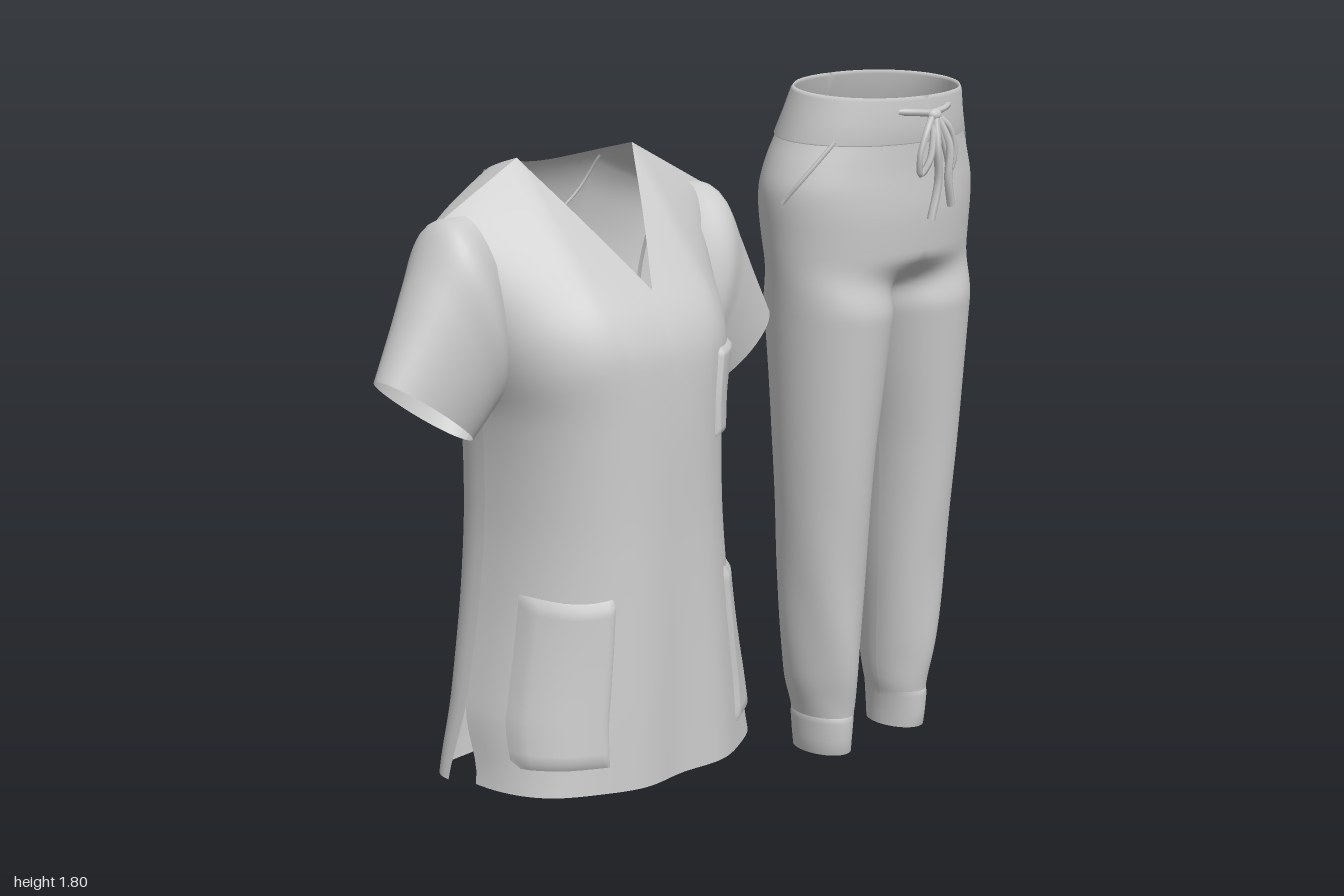
import * as THREE from 'three';

const mat = new THREE.MeshStandardMaterial({ color: 0xcccccc, side: THREE.DoubleSide });
const { lerp, smoothstep } = THREE.MathUtils;

// Smooth lookup through [key, value] pairs with rising keys
function curve(p) {
  const slope = (i) => {
    const a = p[Math.max(i - 1, 0)], b = p[Math.min(i + 1, p.length - 1)];
    return (b[1] - a[1]) / (b[0] - a[0]);
  };
  return (x) => {
    if (x <= p[0][0]) return p[0][1];
    if (x >= p[p.length - 1][0]) return p[p.length - 1][1];
    let i = 0;
    while (x > p[i + 1][0]) i++;
    const h = p[i + 1][0] - p[i][0], t = (x - p[i][0]) / h, t2 = t * t, t3 = t2 * t;
    return (2 * t3 - 3 * t2 + 1) * p[i][1] + (t3 - 2 * t2 + t) * h * slope(i)
      + (3 * t2 - 2 * t3) * p[i + 1][1] + (t3 - t2) * h * slope(i + 1);
  };
}

// Cloth sheet: f(u, v) gives a point, u and v run 0..1
function sheet(name, nu, nv, f, flip = false) {
  const pos = [], idx = [];
  for (let j = 0; j <= nv; j++) for (let i = 0; i <= nu; i++) pos.push(...f(i / nu, j / nv));
  for (let j = 0; j < nv; j++) for (let i = 0; i < nu; i++) {
    const a = j * (nu + 1) + i, b = a + 1, c = a + nu + 1, d = c + 1;
    if (flip) idx.push(a, b, c, b, d, c);
    else idx.push(a, c, b, b, c, d);
  }
  const g = new THREE.BufferGeometry();
  g.setAttribute('position', new THREE.Float32BufferAttribute(pos, 3));
  g.setIndex(idx);
  g.computeVertexNormals();
  const m = new THREE.Mesh(g, mat);
  m.name = name;
  return m;
}

function cord(name, pts, r, closed = false) {
  const path = new THREE.CatmullRomCurve3(pts.map((p) => new THREE.Vector3(...p)), closed);
  const m = new THREE.Mesh(new THREE.TubeGeometry(path, pts.length * 8, r, 6, closed), mat);
  m.name = name;
  return m;
}

// ---------- Top ----------
const NECK = 0.185, SHOULDER = 0.44, HEM = 0.25, SEAM = -0.08;
const topWidth = curve([[0.25, 0.42], [0.5, 0.362], [0.7, 0.325], [0.9, 0.305], [1.12, 0.31], [1.25, 0.345], [1.45, 0.4], [1.58, SHOULDER]]);
// depth against distance below the shoulder line
const frontDepth = curve([[0, SEAM], [0.13, 0.035], [0.26, 0.14], [0.36, 0.215], [0.46, 0.247], [0.9, 0.258], [1.46, 0.275]]);
const backDepth = curve([[0, SEAM], [0.02, -0.15], [0.04, -0.195], [0.13, -0.245], [0.3, -0.275], [0.8, -0.278], [1.1, -0.265], [1.46, -0.215]]);
const shoulderY = (x) => 1.71 - 0.13 * Math.max(0, (Math.abs(x) - NECK) / (SHOULDER - NECK));

function torsoPoint(u, y, front, lift = 0) {
  const slit = 1 - smoothstep(y, HEM, 0.44);
  const x = u * (topWidth(y) - (front ? 0.025 * slit : 0));
  const d = Math.max(0, shoulderY(x) - y);
  const round = Math.pow(Math.max(0, 1 - Math.pow(Math.abs(u), 2.6)), 0.42);
  const seam = SEAM + slit * (front ? 0.05 : -0.02);
  const low = 1 - smoothstep(y, 0.3, 1.1);
  const fold = 0.007 * low * Math.cos(x * 24) * round;
  const sign = front ? 1 : -1;
  const z = seam + ((front ? frontDepth(d) : backDepth(d)) - seam) * round - sign * fold;
  return [x + Math.sign(u) * lift * Math.abs(u) * 0.7, y, z + sign * lift];
}

// One torso panel; columns meet the neck corners exactly
function torsoPanel(front) {
  const n = 24, nNeck = 10;
  return sheet(front ? 'topFront' : 'topBack', n * 2, 60, (a, v) => {
    const k = Math.round(a * n * 2) - n, m = Math.abs(k);
    const xt = m <= nNeck ? NECK * m / nNeck
      : NECK + (SHOULDER - NECK) * Math.sin(Math.PI / 2 * (m - nNeck) / (n - nNeck));
    let yt = shoulderY(xt);
    if (m < nNeck) yt = front ? 1.41 + 0.3 * m / nNeck : 1.71 - 0.035 * (1 - (m / nNeck) ** 2);
    const y = lerp(yt, HEM, Math.pow(v, 1.4));
    return torsoPoint(Math.sign(k) * xt / topWidth(yt), y, front);
  }, !front);
}

// Sleeve rings: upper point, lower point, middle z, half depth
const sleeveRings = [
  [0.36, 1.6, 0.25, 1.18, -0.08, 0.1],
  [0.435, 1.58, 0.305, 1.15, -0.075, 0.135],
  [0.5, 1.475, 0.33, 1.125, -0.07, 0.118],
  [0.56, 1.365, 0.352, 1.102, -0.065, 0.1],
  [0.622, 1.255, 0.375, 1.08, -0.06, 0.082],
];
function sleeve(side) {
  const val = [0, 1, 2, 3, 4, 5].map((c) => curve(sleeveRings.map((r, i) => [i / 4, r[c]])));
  return sheet('sleeve', 40, 24, (u, v) => {
    const [ax, ay, bx, by, zc, h] = val.map((f) => f(v));
    const t = u * Math.PI * 2, k = 0.5 + 0.5 * -Math.cos(t);
    const z = zc + h * Math.sign(Math.sin(t)) * Math.pow(Math.abs(Math.sin(t)), 0.9);
    return [side * lerp(bx, ax, k), lerp(by, ay, k), z];
  }, side < 0);
}

// Patch pocket laid on the front, with its rim sunk to the cloth
function pocket(name, u0, u1, y0, y1, drop = 0) {
  return sheet(name, 16, 20, (a, v) => {
    const edge = a === 0 || a === 1 || v === 0 || v === 1;
    return torsoPoint(lerp(u0, u1, a), lerp(y1, y0, v) - drop * Math.sin(Math.PI * a) * (1 - v), true, edge ? -0.002 : 0.01);
  }, u1 < u0);
}

function buildTop() {
  const g = new THREE.Group();
  g.name = 'top';
  g.add(torsoPanel(true), torsoPanel(false));
  for (const s of [1, -1]) {
    g.add(sleeve(s));
    g.add(pocket('lowerPocket', s * 0.55, s * 0.97, 0.31, 0.72, 0.012));
  }
  g.add(pocket('chestPocket', 0.48, 0.86, 1.04, 1.255));
  // curved yoke seam on the back
  const yoke = [];
  for (let i = 0; i <= 12; i++) {
    const a = Math.PI * i / 12;
    yoke.push(torsoPoint(-0.42 * Math.cos(a), 1.67 - 0.17 * Math.sin(a), false));
  }
  g.add(cord('yokeSeam', yoke, 0.004));
  g.position.x = -0.372;
  return g;
}

// ---------- Trousers ----------
const outer = curve([[0, 0.212], [0.08, 0.215], [0.13, 0.225], [0.22, 0.245], [0.4, 0.265], [0.8, 0.29], [1.2, 0.316], [1.4, 0.335], [1.53, 0.345], [1.6, 0.328], [1.7, 0.288], [1.8, 0.265]]);
const inner = curve([[0, 0.092], [0.08, 0.09], [0.13, 0.08], [0.22, 0.073], [0.4, 0.066], [0.8, 0.053], [1.05, 0.022], [1.2, 0]]);
const legFront = curve([[0, 0.033], [0.1, 0.04], [0.25, 0.06], [0.5, 0.075], [0.8, 0.1], [1.2, 0.132], [1.45, 0.15], [1.6, 0.142], [1.8, 0.14]]);
const legBack = curve([[0, -0.143], [0.1, -0.15], [0.2, -0.172], [0.5, -0.178], [0.8, -0.188], [1.2, -0.22], [1.45, -0.262], [1.6, -0.25], [1.8, -0.185]]);

// s runs from the inner back, round the outside, to the inner front
function trouserPoint(s, y, lift = 0) {
  const w = outer(y) + lift, i = inner(y);
  const zf = legFront(y) + lift, zb = legBack(y) - lift;
  const zm = (zf + zb) / 2, h = (zf - zb) / 2, t = s * Math.PI * 2;
  const crease = 1 + 0.025 * Math.sin(t * 4 + y * 9) * smoothstep(y, 0.08, 0.2) * (1 - smoothstep(y, 0.3, 0.8));
  const legX = (w + i) / 2 - (w - i) / 2 * Math.cos(t) * crease, legZ = zm - h * Math.sin(t) * crease;
  const hipX = w * Math.pow(Math.max(0, Math.sin(t / 2)), 0.9);
  let hipZ = zm - h * Math.cos(t / 2);
  const cleft = smoothstep(y, 1.15, 1.3) * (1 - smoothstep(y, 1.5, 1.68));
  if (s < 0.5) hipZ += 0.045 * cleft * Math.exp(-((hipX / 0.06) ** 2));
  const k = smoothstep(y, 1.2, 1.36);
  const z = lerp(legZ, hipZ, k);
  return [lerp(legX, hipX, k), y - 0.1 * (z + 0.18) * smoothstep(y, 1.5, 1.8), z];
}

function buildTrousers() {
  const g = new THREE.Group();
  g.name = 'trousers';
  for (const s of [1, -1]) {
    const mirror = ([x, y, z]) => [s * x, y, z];
    g.add(sheet('leg', 56, 110, (u, v) => mirror(trouserPoint(u, lerp(1.79, 0.01, v))), s > 0));
    // waistband: outside face, then folded down inside
    g.add(sheet('waistband', 48, 8, (u, v) => {
      const fold = [[1.665, -0.003], [1.672, 0.005], [1.73, 0.005], [1.79, 0.004], [1.8, 0], [1.79, -0.006], [1.73, -0.008], [1.69, -0.008], [1.67, -0.003]];
      return mirror(trouserPoint(u, ...fold[Math.round(v * 8)]));
    }, s < 0));
    g.add(sheet('ankleCuff', 40, 5, (u, v) => {
      const fold = [[0, -0.005], [0, 0.002], [0.04, 0.004], [0.09, 0.004], [0.105, 0.001], [0.11, -0.004]];
      return mirror(trouserPoint(u, ...fold[Math.round(v * 5)]));
    }, s < 0));
    // slanted hip pocket opening
    g.add(cord('hipPocketSeam', [[0.68, 1.68], [0.64, 1.62], [0.59, 1.56], [0.53, 1.51]].map(([a, y]) => mirror(trouserPoint(a, y, 0.001))), 0.006));
  }

  // drawstring with bow
  const bow = new THREE.Group();
  bow.name = 'drawstring';
  bow.add(cord('waistCord', [[-0.1, 1.733, 0.13], [-0.06, 1.73, 0.15], [0, 1.725, 0.158], [0.06, 1.73, 0.15], [0.1, 1.735, 0.13]], 0.009));
  for (const s of [1, -1]) {
    bow.add(cord('bowLoop', [[0, 1.72, 0.165], [s * 0.04, 1.69, 0.18], [s * 0.068, 1.62, 0.18], [s * 0.058, 1.575, 0.175], [s * 0.035, 1.61, 0.185], [s * 0.014, 1.68, 0.178]], 0.009, true));
  }
  bow.add(cord('cordEnd', [[0, 1.72, 0.17], [-0.012, 1.64, 0.19], [0.0, 1.55, 0.185], [-0.022, 1.455, 0.182]], 0.011));
  bow.add(cord('cordEnd', [[0.005, 1.72, 0.17], [0.03, 1.64, 0.195], [0.028, 1.56, 0.195], [0.048, 1.485, 0.19]], 0.011));
  const knot = new THREE.Mesh(new THREE.SphereGeometry(0.02, 14, 10), mat);
  knot.name = 'knot';
  knot.scale.set(1.1, 0.8, 0.8);
  knot.position.set(0, 1.72, 0.168);
  bow.add(knot);
  g.add(bow);
  g.position.x = 0.648;
  return g;
}

export function createModel() {
  const model = new THREE.Group();
  model.name = 'workwearSet';
  model.add(buildTop(), buildTrousers());
  return model;
}
